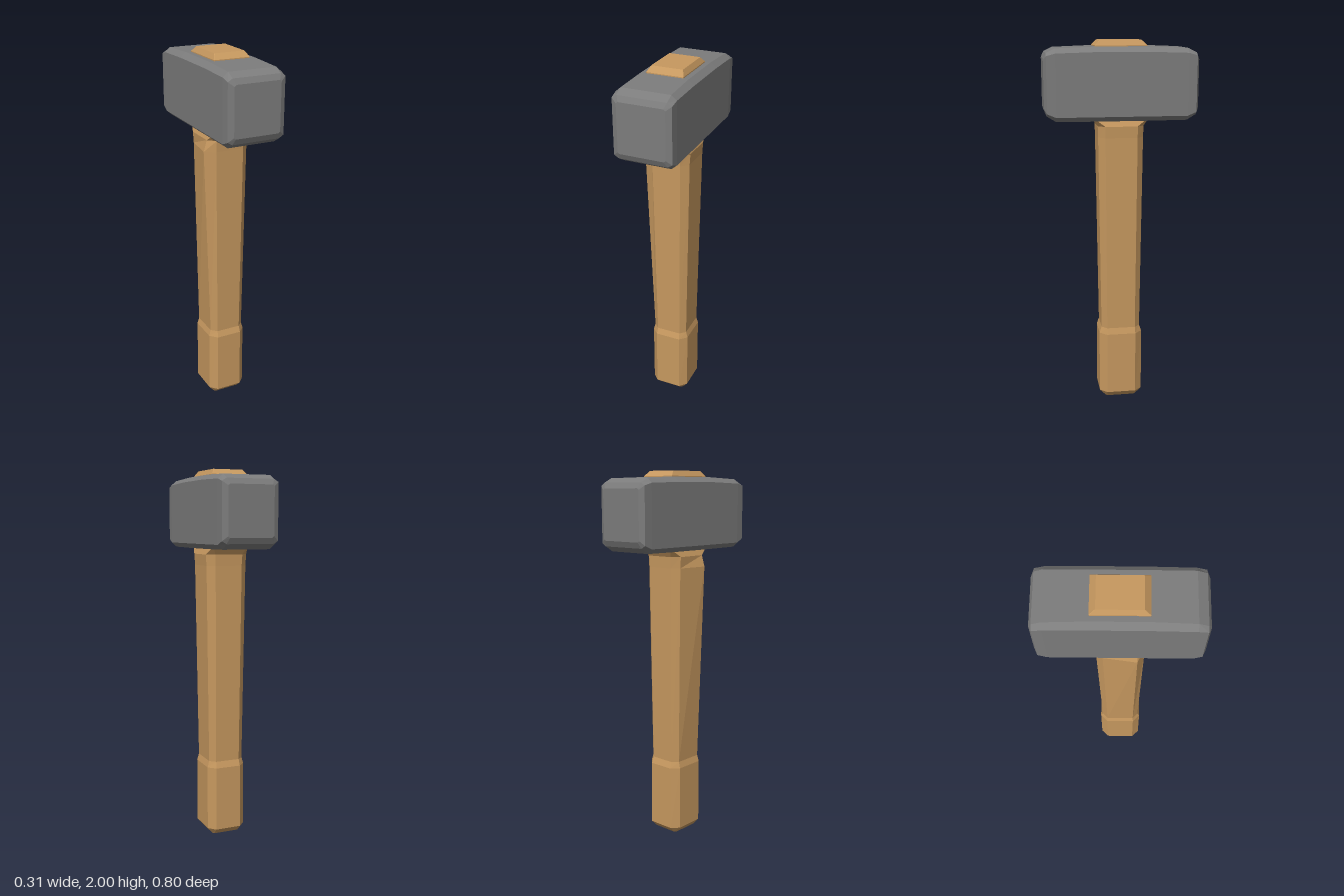
import * as THREE from 'three';

// Skins a stack of equal-length rings and closes both ends.
// Rings run counterclockwise as seen from the far end of the stack.
function loft(rings) {
  const n = rings[0].length;
  const positions = rings.flat(2);
  const index = [];
  for (let r = 0; r < rings.length - 1; r++) {
    for (let i = 0; i < n; i++) {
      const a = r * n + i;
      const b = r * n + (i + 1) % n;
      index.push(a, b, b + n, a, b + n, a + n);
    }
  }
  const last = (rings.length - 1) * n;
  for (let i = 1; i < n - 1; i++) {
    index.push(0, i + 1, i, last, last + i, last + i + 1);
  }
  const geometry = new THREE.BufferGeometry();
  geometry.setAttribute('position', new THREE.Float32BufferAttribute(positions, 3));
  geometry.setIndex(index);
  const flat = geometry.toNonIndexed();
  flat.computeVertexNormals();
  return flat;
}

// Rectangle with cut corners, counterclockwise in (u, v); iu, iv are the inner corner positions.
function cutRectangle(hu, hv, iu, iv) {
  return [[-iu, -hv], [iu, -hv], [hu, -iv], [hu, iv], [iu, hv], [-iu, hv], [-hu, iv], [-hu, -iv]];
}

// Horizontal section at height y
const level = (y, hx, hz, ix, iz) => cutRectangle(hx, hz, ix, iz).map(([u, v]) => [u, y, -v]);

// Upright section at depth z
const slice = (z, hx, y0, y1, ix, cut) => {
  const hy = (y1 - y0) / 2;
  return cutRectangle(hx, hy, ix, hy - cut).map(([u, v]) => [u, (y0 + y1) / 2 + v, z]);
};

export function createModel() {
  const group = new THREE.Group();
  const wood = new THREE.MeshStandardMaterial({ color: 0xc6985f });
  const iron = new THREE.MeshStandardMaterial({ color: 0x7c7c7c });
  wood.flatShading = true;
  iron.flatShading = true;

  const add = (name, geometry, material) => {
    const mesh = new THREE.Mesh(geometry, material);
    mesh.name = name;
    group.add(mesh);
  };

  // Handle: chamfered grip, tapering shaft, flared shoulder under the head
  const shoulder = level(1.5, 0.113, 0.12, 0.075, 0.085);
  shoulder[7][0] = -0.12;
  shoulder[0][0] = -0.08;
  // Worn bulge on one front corner
  shoulder.forEach((p) => {
    if (p[0] < -0.1 && p[2] > 0) p[0] = -0.135;
  });
  add('handle', loft([
    level(0, 0.078, 0.085, 0.07, 0.075),
    level(0.035, 0.108, 0.119, 0.072, 0.08),
    level(0.39, 0.108, 0.119, 0.07, 0.08),
    level(0.425, 0.098, 0.107, 0.068, 0.078),
    shoulder,
    level(1.56, 0.117, 0.122, 0.078, 0.085),
    level(1.6, 0.1, 0.145, 0.095, 0.14),
  ]), wood);

  // Head: long block with rounded ends and a slightly crowned top
  const end = [
    [0.402, 0.125, 1.65, 1.91, 0.115, 0.008],
    [0.388, 0.153, 1.62, 1.938, 0.128, 0.015],
    [0.342, 0.156, 1.592, 1.96, 0.128, 0.024],
    [0.14, 0.156, 1.59, 1.968, 0.125, 0.026],
  ];
  const slices = [
    ...end.map(([z, ...rest]) => slice(-z, ...rest)),
    ...[...end].reverse().map(([z, ...rest]) => slice(z, ...rest)),
  ];
  add('head', loft(slices), iron);

  // Handle end showing through the top of the head
  add('handleTop', loft([
    level(1.95, 0.098, 0.137, 0.096, 0.135),
    level(1.973, 0.098, 0.136, 0.096, 0.134),
    level(2, 0.083, 0.107, 0.081, 0.105),
  ]), wood);

  return group;
}
